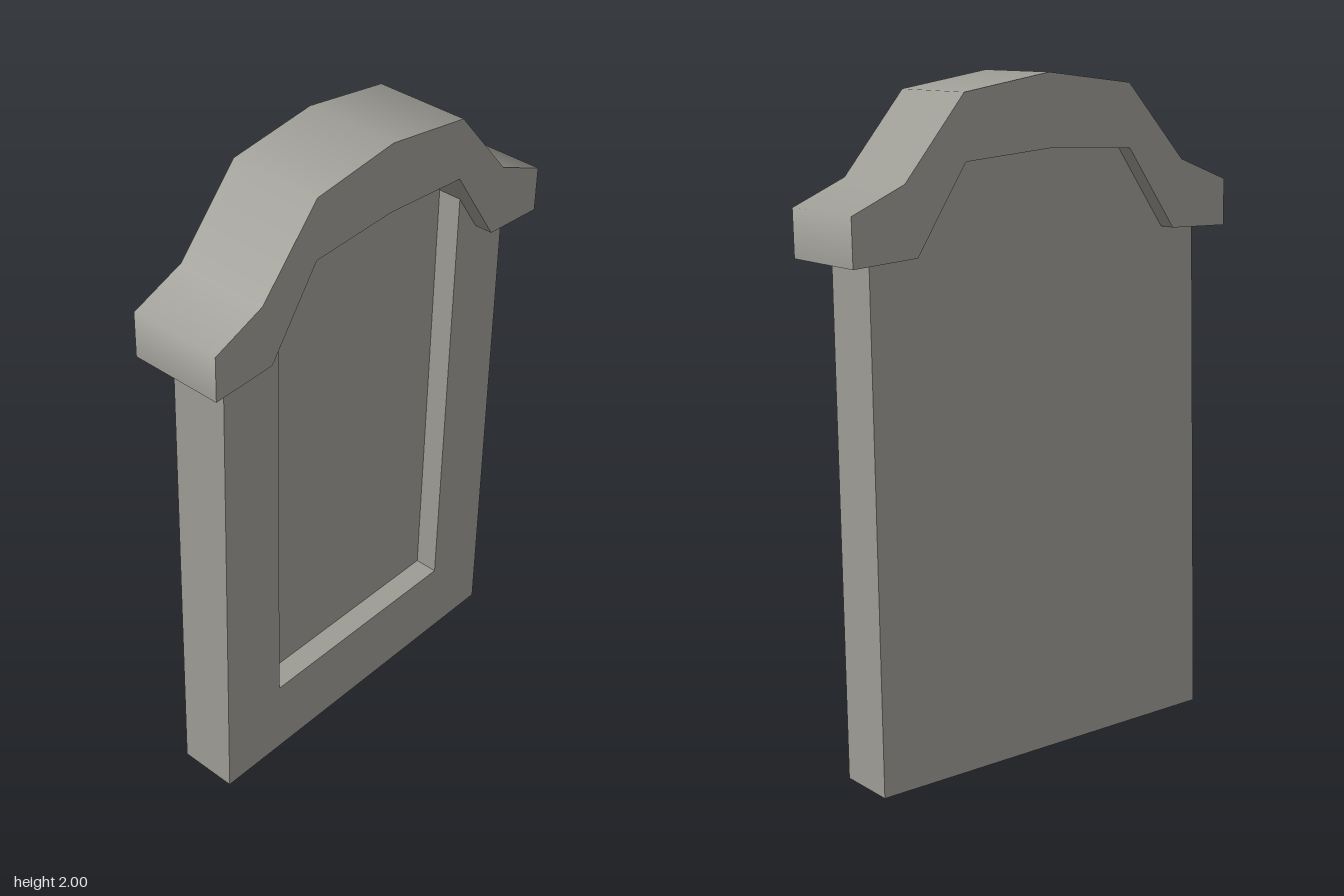
import * as THREE from 'three';

const stone = new THREE.MeshStandardMaterial({ color: 0x9c9b94, side: THREE.DoubleSide });

const HALF = 0.0925;      // half thickness of the slab
const CAP_HALF = 0.147;   // half thickness of the cap
const RECESS = 0.074;     // depth of the front panel
const LEAN = 0.03;        // slight forward lean

// Mirror a right-hand profile (ordered from the side to the centre line)
const mirrored = (pts) => [
  ...pts,
  ...pts.filter(([x]) => x > 0).reverse().map(([x, y]) => [-x, y]),
];
const toShape = (pts) => new THREE.Shape(pts.map(([x, y]) => new THREE.Vector2(x, y)));
const face = (pts) => new THREE.ShapeGeometry(toShape(pts));
const backFace = (pts) => face(pts.map(([x, y]) => [-x, y])).rotateY(Math.PI);

function addMesh(parent, name, geometry, z = 0) {
  const mesh = new THREE.Mesh(geometry, stone);
  mesh.name = name;
  mesh.position.z = z;
  parent.add(mesh);
}

// Walls along a path, facing to the right of its direction, flat or smoothly shaded
function walls(path, z0, z1, smooth = false) {
  const segment = path.slice(1).map(([x, y], i) =>
    new THREE.Vector2(y - path[i][1], path[i][0] - x).normalize());
  const corner = path.map((_, i) =>
    (segment[i - 1] ?? segment[i]).clone().add(segment[i] ?? segment[i - 1]).normalize());
  const position = [], normal = [];
  segment.forEach((flat, i) => {
    for (const [step, z] of [[0, z0], [1, z0], [1, z1], [0, z0], [1, z1], [0, z1]]) {
      const n = smooth ? corner[i + step] : flat;
      position.push(...path[i + step], z);
      normal.push(n.x, n.y, 0);
    }
  });
  const g = new THREE.BufferGeometry();
  g.setAttribute('position', new THREE.Float32BufferAttribute(position, 3));
  g.setAttribute('normal', new THREE.Float32BufferAttribute(normal, 3));
  return g;
}

export function createModel() {
  const model = new THREE.Group();
  model.name = 'headstone';

  // Arch shared by the top of the slab and the underside of the cap
  const arch = [[0.455, 1.523], [0.29, 1.767], [0, 1.785]];
  const capEnd = [0.66, 1.513];
  const capTop = [[0.66, 1.652], [0.49, 1.722], [0.29, 1.952], [0, 1.993]];

  // Slab, open underneath, with a sunken panel running up under the cap
  const slab = new THREE.Group();
  slab.name = 'slab';
  const outline = mirrored([[0.588, 0], [0.577, 1.518], ...arch]);
  const panel = mirrored([[0.368, 0.25], [0.372, 1.646], ...arch.slice(1)]);
  const n = panel.length;
  const reveal = [panel[1], panel[0], panel[n - 1], panel[n - 2]];
  const frame = [...outline.slice(0, 3), ...reveal, ...outline.slice(-3)];
  addMesh(slab, 'slabBack', backFace(outline), -HALF);
  addMesh(slab, 'slabFrontFrame', face(frame), HALF);
  addMesh(slab, 'sunkenPanel', face(panel), HALF - RECESS);
  addMesh(slab, 'panelReveal', walls(reveal, HALF - RECESS, HALF));
  addMesh(slab, 'slabLeftSide', walls(outline.slice(0, 2), -HALF, HALF));
  addMesh(slab, 'slabRightSide', walls(outline.slice(-2), -HALF, HALF));
  model.add(slab);

  // Overhanging cap: softly shaded over the top, sharp front and back edges
  const cap = new THREE.Group();
  cap.name = 'cap';
  cap.position.z = 0.003;
  const top = mirrored([capEnd, ...capTop]);
  const under = mirrored([capEnd, ...arch]).reverse();
  const capOutline = [...top, ...under.slice(1, -1)];
  addMesh(cap, 'capFront', face(capOutline), CAP_HALF);
  addMesh(cap, 'capBack', backFace(capOutline), -CAP_HALF);
  addMesh(cap, 'capTop', walls(top, -CAP_HALF, CAP_HALF, true));
  addMesh(cap, 'capUnderside', walls(under, -CAP_HALF, CAP_HALF, true));
  model.add(cap);

  model.rotation.x = LEAN;
  model.position.set(0, 0.003, -0.0565);
  const root = new THREE.Group();
  root.name = 'gravestone';
  root.add(model);
  return root;
}
